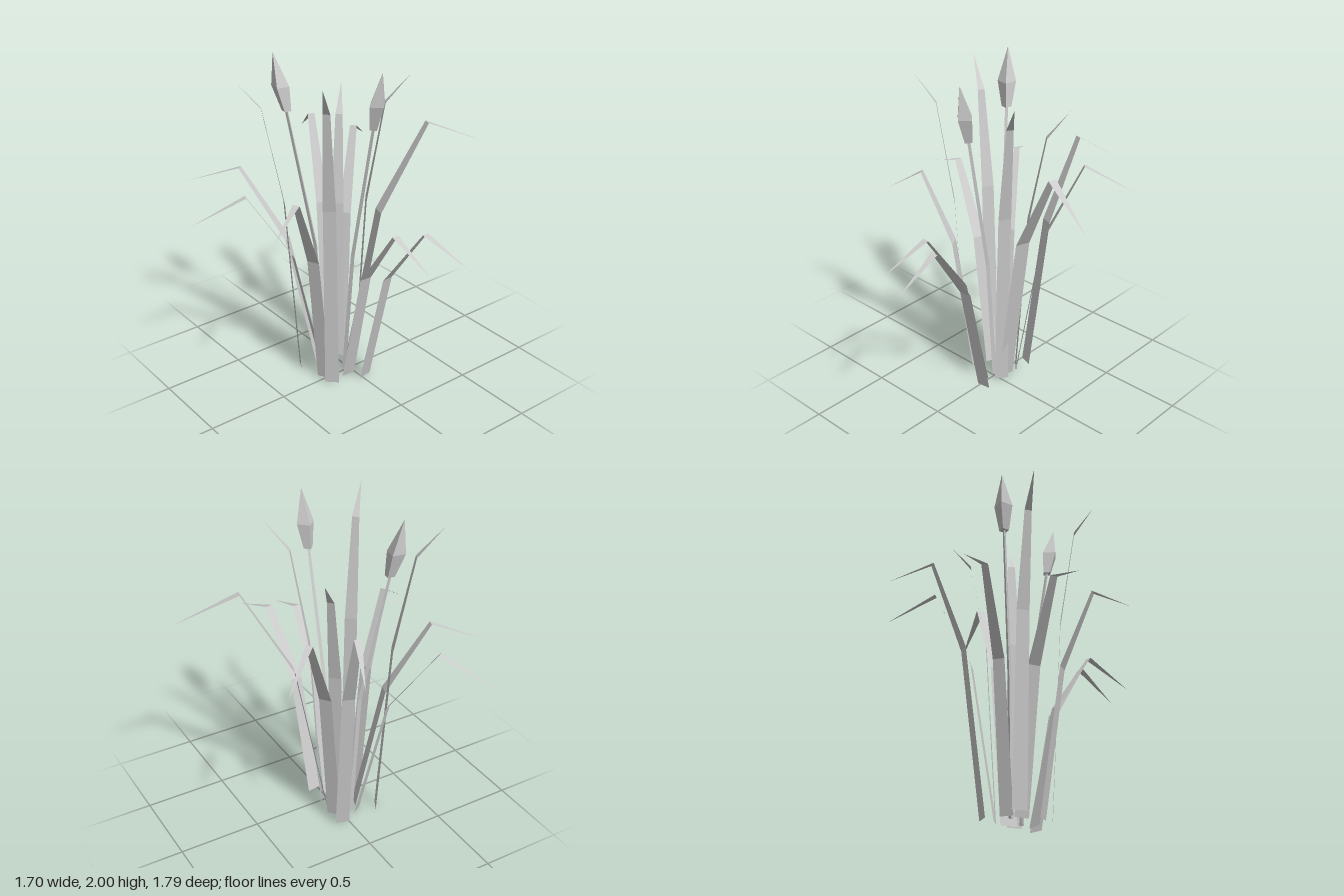
import * as THREE from 'three';

const leafMaterial = new THREE.MeshStandardMaterial({ color: 0xcccccc, flatShading: true, side: THREE.DoubleSide });
const solidMaterial = new THREE.MeshStandardMaterial({ color: 0xcccccc, flatShading: true });

// Flat surface from a list of points and triangle indices
function facets(points, index, material, name) {
  const indexed = new THREE.BufferGeometry();
  indexed.setAttribute('position', new THREE.Float32BufferAttribute(points.flat(), 3));
  indexed.setIndex(index);
  const geometry = indexed.toNonIndexed();
  geometry.computeVertexNormals();
  const mesh = new THREE.Mesh(geometry, material);
  mesh.name = name;
  return mesh;
}

// Ribbon leaf: base, knee and bend as horizontal cross-sections, then a pointed tip
function leaf(base, bend, tip, width, name) {
  const out = new THREE.Vector2(bend[0] - base[0], bend[2] - base[1]).normalize();
  const knee = [base[0] + (bend[0] - base[0]) * 0.39, bend[1] * 0.66, base[1] + (bend[2] - base[1]) * 0.39];
  const rows = [[[base[0], 0, base[1]], 1], [knee, 0.88], [bend, 0.5]];
  const points = [];
  for (const [[x, y, z], scale] of rows) {
    const h = width * scale / 2;
    points.push([x + out.y * h, y, z - out.x * h], [x - out.y * h, y, z + out.x * h]);
  }
  points.push(tip);
  const index = [];
  for (let i = 0; i < 4; i += 2) index.push(i, i + 1, i + 3, i, i + 3, i + 2);
  index.push(4, 5, 6);
  return facets(points, index, leafMaterial, name);
}

// Horizontal polygon rings joined into a solid capped below; each ring is [x, y, z, radius]
function loft(rings, sides, turn, name) {
  const points = [], index = [];
  for (const [x, y, z, r] of rings) {
    for (let k = 0; k < sides; k++) {
      const a = turn + k / sides * Math.PI * 2;
      points.push([x + Math.cos(a) * r, y, z + Math.sin(a) * r]);
    }
  }
  for (let i = 0; i < rings.length - 1; i++) {
    for (let k = 0; k < sides; k++) {
      const a = i * sides + k, b = i * sides + (k + 1) % sides;
      index.push(a, a + sides, b);
      if (rings[i + 1][3] > 0) index.push(b, a + sides, b + sides);
    }
  }
  for (let k = 1; k < sides - 1; k++) index.push(0, k, k + 1);
  return facets(points, index, solidMaterial, name);
}

export function createModel() {
  const group = new THREE.Group();
  group.name = 'reedPlant';

  // Long leaves that fold over and droop: base [x, z], bend, tip, width
  const drooping = [
    [[-0.095, -0.195], [-0.36, 1.26, -0.595], [-0.553, 1.12, -0.893], 0.075],
    [[0.04, -0.25], [0.15, 1.49, -0.565], [0.242, 1.33, -0.793], 0.085],
    [[0.045, -0.155], [0.34, 1.42, -0.39], [0.572, 1.26, -0.578], 0.085],
    [[0.04, -0.06], [0.503, 1.55, 0.095], [0.85, 1.385, 0.23], 0.1],
    [[0.025, 0.125], [0.083, 1.14, 0.567], [0.133, 1.02, 0.893], 0.085],
    [[-0.045, 0.05], [-0.065, 1.14, 0.488], [-0.085, 1.02, 0.812], 0.085],
    [[-0.185, -0.015], [-0.465, 1.31, 0.128], [-0.668, 1.17, 0.212], 0.085],
    [[-0.125, -0.115], [-0.542, 1.24, -0.255], [-0.852, 1.1, -0.367], 0.085],
  ];
  drooping.forEach((d) => group.add(leaf(...d, 'droopingLeaf')));

  // Upright leaves whose tips flick outward
  const upright = [
    [[0.03, -0.165], [0.145, 1.57, -0.28], [0.237, 1.73, -0.375], 0.085],
    [[0.05, -0.01], [0.19, 1.74, 0.083], [0.303, 1.91, 0.174], 0.085],
    [[-0.18, 0.06], [-0.285, 1.8, 0.168], [-0.373, 1.98, 0.253], 0.085],
    [[-0.22, -0.215], [-0.385, 1.72, -0.3], [-0.518, 1.9, -0.374], 0.085],
  ];
  upright.forEach((u) => group.add(leaf(...u, 'uprightLeaf')));

  // Bent three-sided stems, each carrying a four-sided pointed bud
  const stalks = [
    { base: [-0.02, 0, -0.02], knee: [-0.01, 0.82, 0.05], top: [0.003, 1.66, 0.21],
      swell: [0.005, 1.805, 0.237], tip: [0.007, 2, 0.277], stemTurn: 1.57, budTurn: 0 },
    { base: [-0.08, 0, -0.15], knee: [-0.105, 0.82, -0.19], top: [-0.2, 1.66, -0.32],
      swell: [-0.221, 1.805, -0.345], tip: [-0.243, 2, -0.378], stemTurn: 1.83, budTurn: 0.95 },
  ];
  for (const s of stalks) {
    group.add(loft([[...s.base, 0.015], [...s.knee, 0.013], [...s.top, 0.01]], 3, s.stemTurn, 'stem'));
    group.add(loft([[...s.top, 0.029], [...s.swell, 0.054], [...s.tip, 0]], 4, s.budTurn, 'bud'));
  }
  return group;
}
